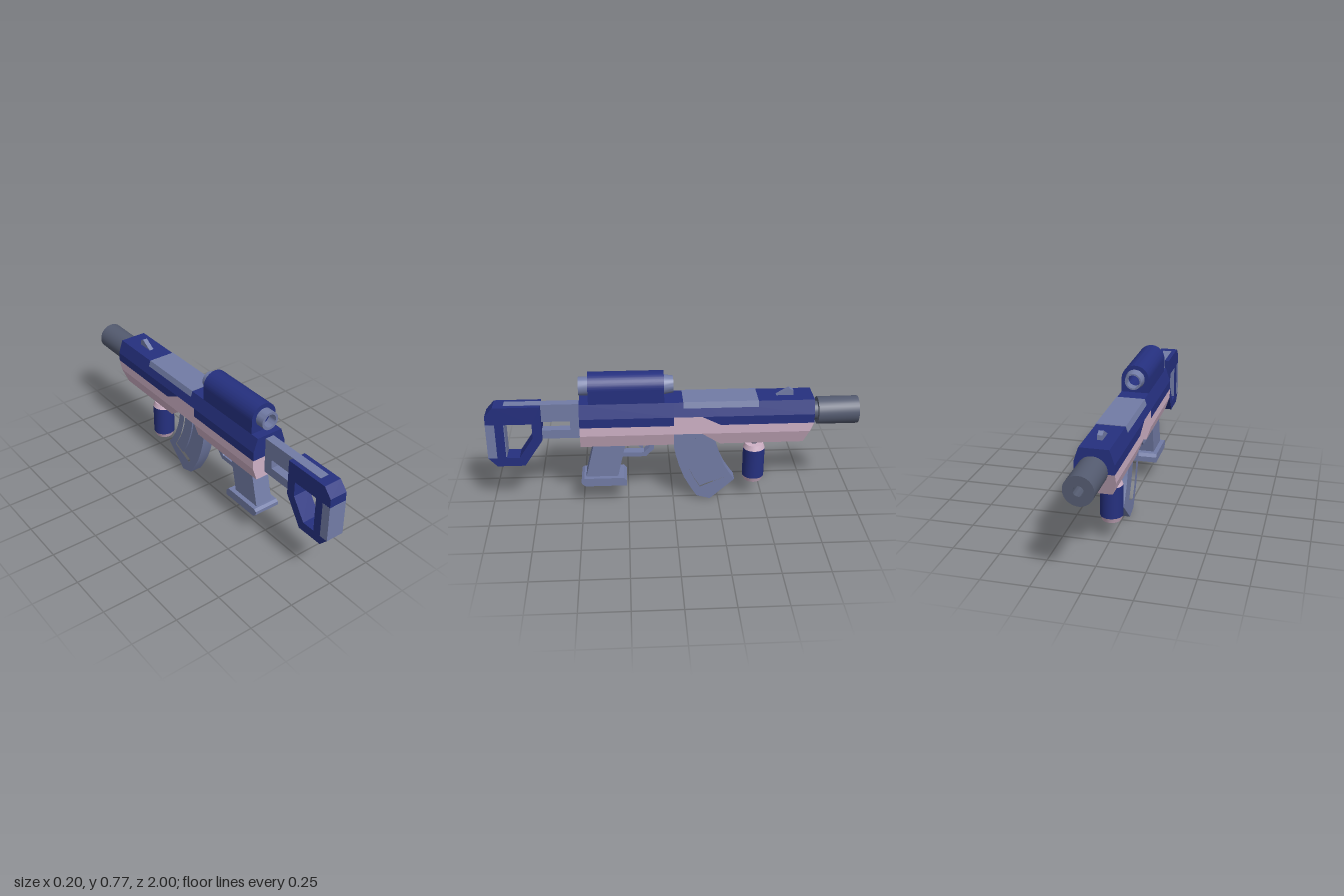
import * as THREE from 'three';
import { toCreasedNormals } from 'three/addons/utils/BufferGeometryUtils.js';

const material = (name, color) => {
  const m = new THREE.MeshStandardMaterial({ color });
  m.name = name;
  return m;
};
const V = (x, y) => new THREE.Vector2(x, y);
const polygon = pts => pts.map(([a, b]) => V(a, b));

// Side profile given as [z, y] points, extruded symmetrically along x.
function sideExtrude(pts, halfWidth, hole) {
  const shape = new THREE.Shape(polygon(pts));
  if (hole) shape.holes.push(new THREE.Path(polygon(hole)));
  const geo = new THREE.ExtrudeGeometry(shape, { depth: halfWidth * 2, bevelEnabled: false });
  geo.translate(0, 0, -halfWidth).rotateY(-Math.PI / 2);
  return toCreasedNormals(geo, 0.4);
}

// Skin over cross-sections ordered from rear (+z) to muzzle (-z), flat faced.
function loft(sections) {
  const pos = [];
  const tri = (a, b, c) => pos.push(...a, ...b, ...c);
  const n = sections[0].length;
  for (let i = 0; i < sections.length - 1; i++) {
    const s = sections[i], t = sections[i + 1];
    for (let j = 0; j < n; j++) {
      const k = (j + 1) % n;
      tri(s[j], t[j], s[k]);
      tri(t[j], t[k], s[k]);
    }
  }
  const first = sections[0], last = sections[sections.length - 1];
  for (let j = 1; j < n - 1; j++) {
    tri(first[0], first[j], first[j + 1]);
    tri(last[0], last[j + 1], last[j]);
  }
  const geo = new THREE.BufferGeometry();
  geo.setAttribute('position', new THREE.Float32BufferAttribute(pos, 3));
  geo.computeVertexNormals();
  return geo;
}
// Mirror a right-hand run of [x, y, z] points into a closed loop.
const mirrorLoop = half => [...half, ...half.slice().reverse().map(([x, y, z]) => [-x, y, z])];

// Hollow round part along z.
function pipe(r0, r1, inner, z0, z1) {
  const geo = new THREE.LatheGeometry(
    polygon([[inner, z0], [r0, z0], [r1, z1], [inner, z1], [inner, z0]]), 28);
  return toCreasedNormals(geo.rotateX(Math.PI / 2), 0.6);
}

export function createModel() {
  const blue = material('navy blue', 0x25307f);
  const grey = material('blue grey', 0x727ca6);
  const pink = material('dusty pink', 0xcfb1c6);
  const dark = material('dark slate', 0x545b70);

  const model = new THREE.Group();
  const add = (name, geo, mat, x = 0, y = 0, z = 0) => {
    const mesh = new THREE.Mesh(geo, mat);
    mesh.name = name;
    mesh.position.set(x, y, z);
    model.add(mesh);
    return mesh;
  };
  const box = (name, mat, halfX, y0, y1, z0, z1) =>
    add(name, new THREE.BoxGeometry(halfX * 2, y1 - y0, z1 - z0), mat, 0, (y0 + y1) / 2, (z0 + z1) / 2);

  // Receiver: blue upper and pink lower share a stepped seam
  const upper = (z, seam) => mirrorLoop([[0.1, seam, z], [0.1, 0.55, z], [0.075, 0.625, z]]);
  add('upperReceiver', loft([
    upper(0.5, 0.5), upper(0, 0.5), upper(0, 0.55), upper(-0.15, 0.55), upper(-0.25, 0.5), upper(-0.75, 0.5),
  ]), blue);
  const lower = (z, w, bottom, seam, slant = 0) =>
    mirrorLoop([[w, bottom, z + slant], [0.1, 0.45, z + slant * 0.4], [0.1, seam, z]]);
  add('lowerReceiver', loft([
    lower(0.5, 0.075, 0.375, 0.5), lower(0, 0.075, 0.375, 0.5),
    lower(0, 0.1, 0.45, 0.55), lower(-0.15, 0.1, 0.45, 0.55),
    lower(-0.25, 0.075, 0.375, 0.5), lower(-0.75, 0.075, 0.375, 0.5, 0.05),
  ]), pink);

  // Top cover over the chamfered edges
  const cover = z => mirrorLoop([[0.088, 0.596, z], [0.077, 0.628, z]]);
  add('topCover', loft([cover(-0.05), cover(-0.45)]), grey);

  // Front sight
  add('frontSight', sideExtrude(
    [[-0.545, 0.62], [-0.62, 0.665], [-0.645, 0.65], [-0.645, 0.62]], 0.013), grey);

  // Barrel and muzzle
  add('barrel', pipe(0.05, 0.05, 0.001, -0.8, -0.74), dark, 0, 0.525);
  add('muzzle', pipe(0.075, 0.075, 0.026, -1, -0.78), dark, 0, 0.525);

  // Scope: arched housing bored through, with a ring at each end
  const arch = new THREE.Shape();
  arch.moveTo(-0.075, 0.62).lineTo(0.075, 0.62).lineTo(0.075, 0.7);
  arch.absarc(0, 0.7, 0.075, 0, Math.PI, false);
  arch.lineTo(-0.075, 0.62);
  const bore = new THREE.Path();
  bore.absarc(0, 0.7, 0.036, 0, Math.PI * 2, true);
  arch.holes.push(bore);
  const housing = new THREE.ExtrudeGeometry(arch, { depth: 0.4, bevelEnabled: false, curveSegments: 24 });
  add('scopeHousing', toCreasedNormals(housing, 0.6), blue, 0, 0, 0.05);
  add('scopeRearRing', pipe(0.05, 0.05, 0.036, 0.45, 0.5), grey, 0, 0.7);
  add('scopeFrontRing', pipe(0.045, 0.053, 0.036, 0, 0.05), grey, 0, 0.7);

  // Stock frame, butt pad and connecting bars
  add('stockFrame', sideExtrude(
    [[0.955, 0.605], [0.705, 0.605], [0.705, 0.405], [0.805, 0.255], [0.955, 0.255], [1, 0.305], [1, 0.555]],
    0.05,
    [[0.905, 0.505], [0.755, 0.505], [0.755, 0.42], [0.832, 0.305], [0.905, 0.305]]), blue);
  box('buttPad', grey, 0.051, 0.305, 0.505, 0.952, 1.001);
  box('buttPadInner', grey, 0.045, 0.31, 0.5, 0.9, 0.907);
  box('stockUpperBar', grey, 0.025, 0.506, 0.607, 0.49, 0.9);
  box('stockLowerBar', grey, 0.025, 0.405, 0.455, 0.49, 0.715);
  box('stockBarBrace', grey, 0.025, 0.45, 0.51, 0.49, 0.553);

  // Pistol grip with flared base
  add('grip', sideExtrude([[0.428, 0.385], [0.257, 0.385], [0.305, 0.17], [0.48, 0.17]], 0.05), grey);
  add('gripBase', sideExtrude(
    [[0.49, 0.175], [0.505, 0.165], [0.505, 0.145], [0.485, 0.127], [0.257, 0.127], [0.257, 0.158], [0.272, 0.175]],
    0.075), grey);

  // Trigger and guard
  add('triggerGuard', sideExtrude([
    [0.29, 0.28], [0.15, 0.28], [0.105, 0.325], [0.105, 0.38], [0.13, 0.38],
    [0.13, 0.335], [0.16, 0.305], [0.29, 0.305],
  ], 0.025), grey);
  add('trigger', sideExtrude([[0.225, 0.38], [0.185, 0.38], [0.165, 0.325], [0.175, 0.325]], 0.014), grey);

  // Curved magazine: u runs across, t runs down
  const rear = new THREE.SplineCurve(polygon([[0, 0.45], [0, 0.375], [-0.015, 0.28], [-0.06, 0.145], [-0.13, 0.025]]));
  const front = new THREE.SplineCurve(polygon([[-0.218, 0.46], [-0.225, 0.41], [-0.24, 0.32], [-0.28, 0.215], [-0.34, 0.125]]));
  const strip = (u0, u1, t0, t1, tip = []) => {
    const a = [], b = [];
    for (let i = 0; i <= 8; i++) {
      const t = t0 + (t1 - t0) * i / 8;
      const p = rear.getPoint(t), q = front.getPoint(t);
      a.push(p.clone().lerp(q, u0).toArray());
      b.push(p.clone().lerp(q, u1).toArray());
    }
    return [...a, ...tip, ...b.reverse()];
  };
  add('magazineShell', sideExtrude(strip(0, 1, 0, 1, [[-0.205, 0.003]]), 0.035, strip(0.2, 0.82, 0.16, 0.9)), grey);
  add('magazineDeepChannel', sideExtrude(strip(0.19, 0.56, 0.15, 0.91), 0.016), grey);
  add('magazineRib', sideExtrude(strip(0.54, 0.83, 0.15, 0.91), 0.025), grey);

  // Foregrip hanging from a rail plate
  box('railPlate', dark, 0.05, 0.364, 0.38, -0.6, -0.3);
  const turned = (name, rTop, rBottom, y0, y1, mat) => add(name,
    toCreasedNormals(new THREE.CylinderGeometry(rTop, rBottom, y1 - y0, 24), 0.6), mat, 0, (y0 + y1) / 2, -0.447);
  turned('foregripStem', 0.016, 0.016, 0.33, 0.37, dark);
  turned('foregripTopCap', 0.05, 0.06, 0.308, 0.335, pink);
  turned('foregrip', 0.06, 0.06, 0.137, 0.308, blue);
  turned('foregripBottomCap', 0.06, 0.05, 0.111, 0.137, pink);

  return model;
}
